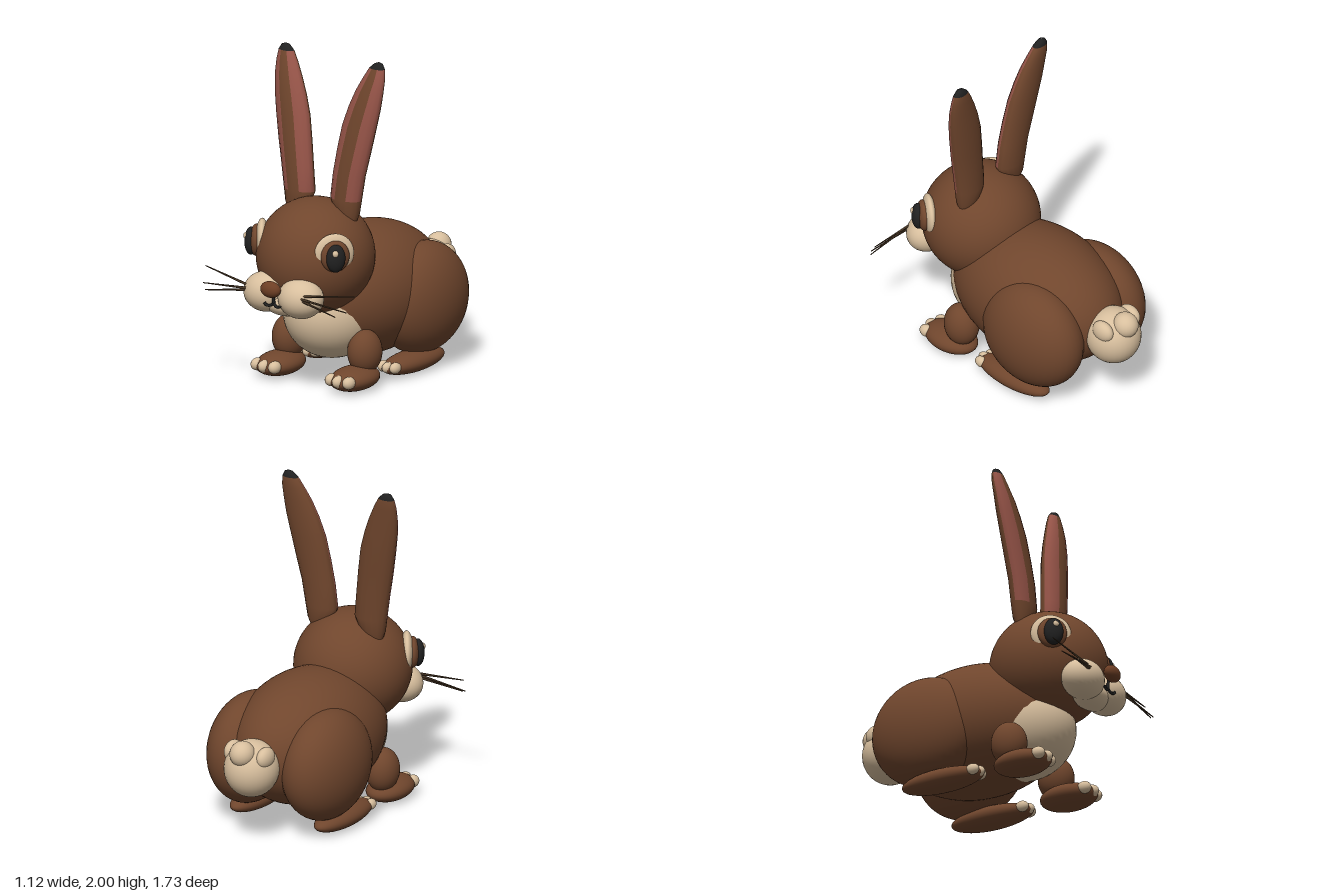
import * as THREE from 'three';

const mat = (name, color, extra = {}) => Object.assign(new THREE.MeshStandardMaterial({ color, ...extra }), { name });

export function createModel() {
  const model = new THREE.Group();
  const fur = mat('brown fur', 0x70462d);
  const cream = mat('cream fur', 0xd8bf9e);
  const pink = mat('inner ear pink', 0x965448);
  const black = mat('black', 0x222222);
  const noseBrown = mat('nose brown', 0x6e3f25);
  const whiskerBrown = mat('whisker brown', 0x4a3826);

  const add = (name, geometry, material, parent = model) => {
    const mesh = new THREE.Mesh(geometry, material);
    mesh.name = name;
    parent.add(mesh);
    return mesh;
  };

  // Smooth ellipsoid from centre and radii
  const blob = (name, material, pos, radii, seg = 32) => {
    const mesh = add(name, new THREE.SphereGeometry(1, seg, Math.ceil(seg * 0.7)).scale(...radii), material);
    mesh.position.set(...pos);
    return mesh;
  };

  // Straight tapering rod between two points
  const rod = (name, material, from, to, r0, r1) => {
    const a = new THREE.Vector3(...from), b = new THREE.Vector3(...to);
    const dir = b.clone().sub(a);
    const mesh = add(name, new THREE.CylinderGeometry(r1, r0, dir.length(), 6), material);
    mesh.position.copy(a).add(b).multiplyScalar(0.5);
    mesh.quaternion.setFromUnitVectors(new THREE.Vector3(0, 1, 0), dir.normalize());
  };

  // Torso and head
  blob('body', fur, [0, 0.495, -0.07], [0.4, 0.4, 0.58], 48);
  blob('belly', cream, [0, 0.42, 0.22], [0.29, 0.29, 0.325], 40);
  blob('head', fur, [0, 0.79, 0.395], [0.355, 0.35, 0.355], 48);

  // Muzzle
  blob('chin', cream, [0, 0.555, 0.68], [0.15, 0.075, 0.1]);
  blob('nose', noseBrown, [0, 0.67, 0.825], [0.07, 0.05, 0.043], 24);
  rod('mouthLine', black, [0, 0.64, 0.8], [0, 0.575, 0.795], 0.01, 0.01);

  // Tail with puffs
  blob('tail', cream, [0, 0.475, -0.68], [0.165, 0.175, 0.17]);
  blob('tailPuff', cream, [0, 0.595, -0.78], [0.075, 0.078, 0.08], 24);

  for (const s of [1, -1]) {
    const side = s > 0 ? 'left' : 'right';

    blob(side + 'Cheek', cream, [s * 0.13, 0.61, 0.7], [0.145, 0.12, 0.125]).rotation.x = 0.3;
    const lip = new THREE.CatmullRomCurve3([
      [0, 0.578, 0.795], [0.025, 0.563, 0.802], [0.05, 0.565, 0.806], [0.06, 0.578, 0.809],
    ].map(([x, y, z]) => new THREE.Vector3(s * x, y, z)));
    add(side + 'Lip', new THREE.TubeGeometry(lip, 12, 0.009, 6), black);

    [[[0.17, 0.648, 0.785], [0.56, 0.7, 0.735]],
      [[0.15, 0.642, 0.795], [0.54, 0.61, 0.785]],
      [[0.18, 0.63, 0.785], [0.49, 0.585, 0.83]]].forEach(([a, b], i) =>
      rod(side + 'Whisker' + (i + 1), whiskerBrown, [s * a[0], a[1], a[2]], [s * b[0], b[1], b[2]], 0.009, 0.003));

    // Eye layers, flattened along the outward direction
    const turn = s * 0.94;
    [['EyeRim', cream, [0.272, 0.88, 0.562], [0.122, 0.122, 0.04]],
      ['Iris', fur, [0.298, 0.872, 0.585], [0.088, 0.096, 0.04]],
      ['Pupil', black, [0.32, 0.867, 0.607], [0.058, 0.085, 0.04]]].forEach(([n, m, p, r]) => {
      blob(side + n, m, [s * p[0], p[1], p[2]], r).rotation.y = turn;
    });
    blob(side + 'EyeHighlight', cream, [s * 0.335, 0.902, 0.63], [0.02, 0.022, 0.02], 16);

    add(side + 'Ear', earGeometry(s), [fur, pink, black]);

    // Front leg, paw and toes
    blob(side + 'FrontLeg', fur, [s * 0.285, 0.22, 0.285], [0.1, 0.135, 0.112]);
    blob(side + 'FrontPaw', fur, [s * 0.28, 0.077, 0.375], [0.125, 0.073, 0.185]);
    // Hind leg and foot
    blob(side + 'Thigh', fur, [s * 0.265, 0.43, -0.28], [0.226, 0.34, 0.355], 40);
    blob(side + 'HindFoot', fur, [s * 0.3, 0.073, -0.155], [0.1, 0.066, 0.275]);
    for (const i of [-1, 0, 1]) {
      blob(side + 'FrontToe', cream, [s * 0.28 + i * 0.066, 0.085, i ? 0.515 : 0.53], [0.036, 0.038, 0.045], 18);
      blob(side + 'HindToe', cream, [s * 0.3 + i * 0.045, 0.08, i ? 0.07 : 0.085], [0.03, 0.034, 0.042], 18);
    }

    blob(side + 'TailPuff', cream, [s * 0.115, 0.57, -0.705], [0.045, 0.065, 0.075], 24);
  }
  return model;
}

// Ear lofted through oval rings: fur, pink side bands on the front, black tip
function earGeometry(s) {
  const rings = [ // y, centre x, centre z, radius x, radius z
    [1.0, 0.21, 0.33, 0.035, 0.03], [1.07, 0.185, 0.328, 0.085, 0.06], [1.15, 0.175, 0.325, 0.108, 0.066],
    [1.3, 0.195, 0.32, 0.112, 0.067], [1.45, 0.222, 0.307, 0.118, 0.066], [1.6, 0.25, 0.292, 0.12, 0.063],
    [1.72, 0.28, 0.278, 0.112, 0.057], [1.82, 0.306, 0.265, 0.096, 0.049], [1.9, 0.328, 0.25, 0.076, 0.04],
    [1.96, 0.342, 0.24, 0.054, 0.031], [1.99, 0.35, 0.236, 0.028, 0.02], [2.0, 0.352, 0.235, 0.002, 0.002],
  ];
  const n = 16, pos = [], faces = [[], [], []];
  for (const [y, cx, cz, rx, rz] of rings) {
    for (let j = 0; j < n; j++) {
      const a = (j / n) * Math.PI * 2; // 0 faces the front
      pos.push(s * cx + rx * Math.sin(a), y, cz + rz * Math.cos(a));
    }
  }
  for (let i = 0; i < rings.length - 1; i++) {
    for (let j = 0; j < n; j++) {
      const k = (j + 1) % n;
      const fromFront = Math.min(j, n - 1 - j);
      const banded = i >= 2 && fromFront >= 1 && fromFront <= 3;
      const a = i * n + j, b = i * n + k;
      faces[i >= 9 ? 2 : banded ? 1 : 0].push(a, b, b + n, a, b + n, a + n);
    }
  }
  const g = new THREE.BufferGeometry();
  g.setAttribute('position', new THREE.Float32BufferAttribute(pos, 3));
  g.setIndex(faces.flat());
  let start = 0;
  faces.forEach((f, m) => { g.addGroup(start, f.length, m); start += f.length; });
  g.computeVertexNormals();
  return g;
}
